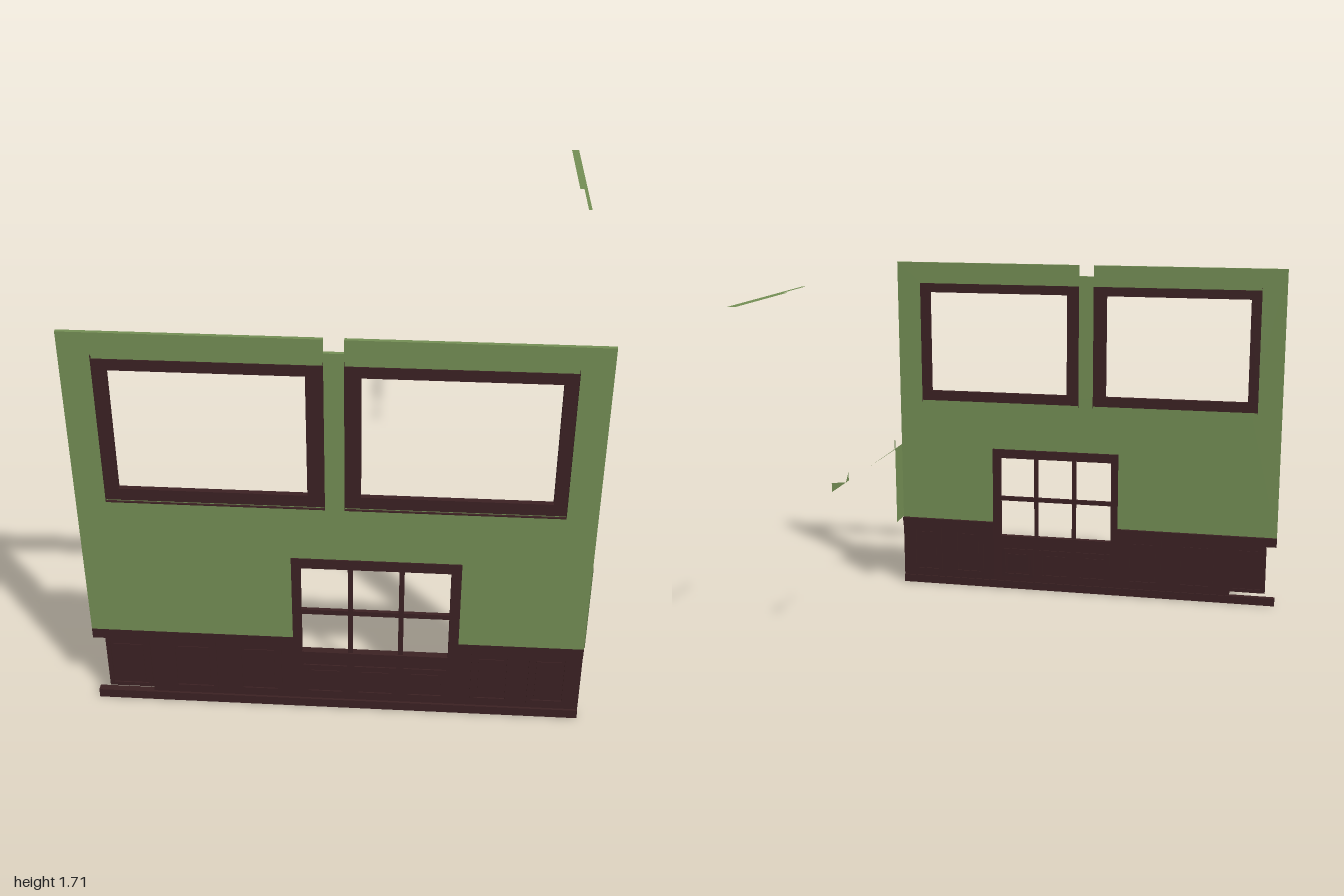
import * as THREE from 'three';

export function createModel() {
  const root = new THREE.Group();
  const green = new THREE.MeshStandardMaterial({ color: 0x738d54, side: THREE.DoubleSide });
  green.name = 'wallGreen';
  const wood = new THREE.MeshStandardMaterial({ color: 0x3b2123, side: THREE.DoubleSide });
  wood.name = 'darkWood';

  const add = (geo, mat, name, parent = root) => {
    const m = new THREE.Mesh(geo, mat);
    m.name = name;
    parent.add(m);
    return m;
  };
  // Box given by its limits
  const box = (name, x0, x1, y0, y1, z0, z1, mat = wood, parent = root) =>
    add(new THREE.BoxGeometry(x1 - x0, y1 - y0, z1 - z0), mat, name, parent)
      .position.set((x0 + x1) / 2, (y0 + y1) / 2, (z0 + z1) / 2);
  const poly = (pts) => new THREE.Shape(pts.map(([x, y]) => new THREE.Vector2(x, y)));
  const rect = (x0, x1, y0, y1) => poly([[x0, y0], [x1, y0], [x1, y1], [x0, y1]]);
  // Rectangular frame with an opening; o and i are [x0, x1, y0, y1]
  const frame = (name, o, i, z0, z1, parent = root) => {
    const s = rect(...o);
    s.holes.push(rect(...i));
    const g = new THREE.ExtrudeGeometry(s, { depth: z1 - z0, bevelEnabled: false });
    add(g.translate(0, 0, z0), wood, name, parent);
  };

  // Upper windows and lower window: outer and inner limits
  const uppers = [
    { o: [-0.88, -0.05, 1.0, 1.605], i: [-0.83, -0.115, 1.05, 1.56] },
    { o: [0.025, 0.85, 1.0, 1.605], i: [0.085, 0.8, 1.05, 1.56] },
  ];
  const lower = { o: [-0.185, 0.475, 0.245, 0.755], i: [-0.15, 0.435, 0.29, 0.71] };

  // Wall sheets, with a notch in the top and a notch around the lower window
  const wall = new THREE.Group();
  wall.name = 'wall';
  root.add(wall);
  const s = poly([
    [-1, 0.355], [-0.17, 0.355], [-0.17, 0.73], [0.455, 0.73], [0.455, 0.355], [0.97, 0.355],
    [0.97, 1.71], [0.025, 1.71], [0.025, 1.655], [-0.05, 1.655], [-0.05, 1.71], [-1, 1.71],
  ]);
  for (const { i } of uppers) s.holes.push(rect(i[0] - 0.01, i[1] + 0.01, i[2] - 0.01, i[3] + 0.01));
  for (const z of [0.969, 0.983]) add(new THREE.ShapeGeometry(s).translate(0, 0, z), green, 'wallSheet', wall);
  // Caps along the top edge
  for (const [x0, x1, y] of [[-1, -0.05, 1.71], [-0.05, 0.025, 1.655], [0.025, 0.97, 1.71]]) {
    const g = new THREE.PlaneGeometry(x1 - x0, 0.016).rotateX(-Math.PI / 2);
    add(g.translate((x0 + x1) / 2, y, 0.977), green, 'wallCap', wall);
  }

  // Upper window frames with thin projecting lips
  for (const { o, i } of uppers) {
    const g = new THREE.Group();
    g.name = 'upperWindow';
    root.add(g);
    frame('upperFrame', o, i, 0.964, 0.986, g);
    for (const x of [o[0], o[1]]) {
      const lip = new THREE.PlaneGeometry(0.032, 0.633).rotateY(Math.PI / 2);
      add(lip.translate(x, 1.307, 0.981), wood, 'frameLip', g);
    }
    box('sillLip', o[0], o[1], 0.993, 0.997, 0.986, 0.995, wood, g);
  }

  // Lower window with glazing bars
  const win = new THREE.Group();
  win.name = 'lowerWindow';
  root.add(win);
  frame('lowerFrame', lower.o, lower.i, 0.958, 0.987, win);
  for (const x of [0.045, 0.245]) box('uprightBar', x - 0.01, x + 0.01, 0.29, 0.71, 0.965, 0.982, wood, win);
  box('crossBar', -0.15, 0.435, 0.48, 0.502, 0.966, 0.981, wood, win);

  // Wainscot: rails, backing and framed panels
  const wains = new THREE.Group();
  wains.name = 'wainscot';
  root.add(wains);
  box('baseboard', -1, 0.97, 0, 0.04, 0.96, 0.988, wood, wains);
  box('leftChairRail', -1, -0.185, 0.315, 0.36, 0.955, 0.984, wood, wains);
  box('rightChairRail', 0.475, 0.97, 0.315, 0.36, 0.955, 0.984, wood, wains);
  box('leftBacking', -0.77, -0.185, 0.04, 0.315, 0.966, 0.979, wood, wains);
  box('middleBacking', -0.185, 0.475, 0.04, 0.25, 0.966, 0.979, wood, wains);
  box('rightBacking', 0.475, 0.97, 0.04, 0.315, 0.966, 0.979, wood, wains);
  box('endPanelBoard', -0.95, -0.77, 0.065, 0.315, 0.966, 0.979, wood, wains);
  const panels = [
    [-0.95, -0.77, 0.315], [-0.685, -0.5, 0.315], [-0.415, -0.235, 0.315], [-0.145, 0.03, 0.22],
    [0.06, 0.23, 0.22], [0.26, 0.43, 0.22], [0.53, 0.69, 0.315], [0.76, 0.92, 0.315],
  ];
  for (const [x0, x1, y1] of panels) {
    const y0 = 0.065;
    frame('panelMoulding', [x0, x1, y0, y1], [x0 + 0.018, x1 - 0.018, y0 + 0.018, y1 - 0.018], 0.96, 0.984, wains);
    box('raisedPanel', x0 + 0.03, x1 - 0.03, y0 + 0.03, y1 - 0.03, 0.963, 0.982, wood, wains);
  }

  // Side wall remnants, drawn as (-z, y) outlines on the right-hand edge
  const side = new THREE.Group();
  side.name = 'sideWallRemnants';
  root.add(side);
  const outlines = [
    [[-0.984, 0.36], [-0.86, 0.36], [-0.86, 0.755], [-0.984, 0.755]],
    [[-0.984, 0.752], [-0.45, 0.754], [-0.984, 0.756]],
    [[-0.165, 0.757], [-0.125, 0.757], [-0.165, 0.8]],
    [[-0.125, 0.757], [0.055, 0.757], [0.055, 0.8]],
  ];
  for (const pts of outlines) {
    const g = new THREE.ShapeGeometry(poly(pts)).rotateY(Math.PI / 2);
    add(g.translate(0.972, 0, 0), green, 'sidePiece', side);
  }
  add(new THREE.PlaneGeometry(0.005, 0.045).translate(0.9725, 0.778, 0.86), green, 'sideSliver', side);

  // Flat strips left from the side wall's top edge
  for (const [x0, x1, z0, z1] of [[0.957, 0.99, -0.995, -0.5], [0.975, 0.99, -0.5, -0.26]]) {
    const g = new THREE.PlaneGeometry(x1 - x0, z1 - z0).rotateX(-Math.PI / 2);
    add(g.translate((x0 + x1) / 2, 1.71, (z0 + z1) / 2), green, 'sideTopStrip', side);
  }
  return root;
}
